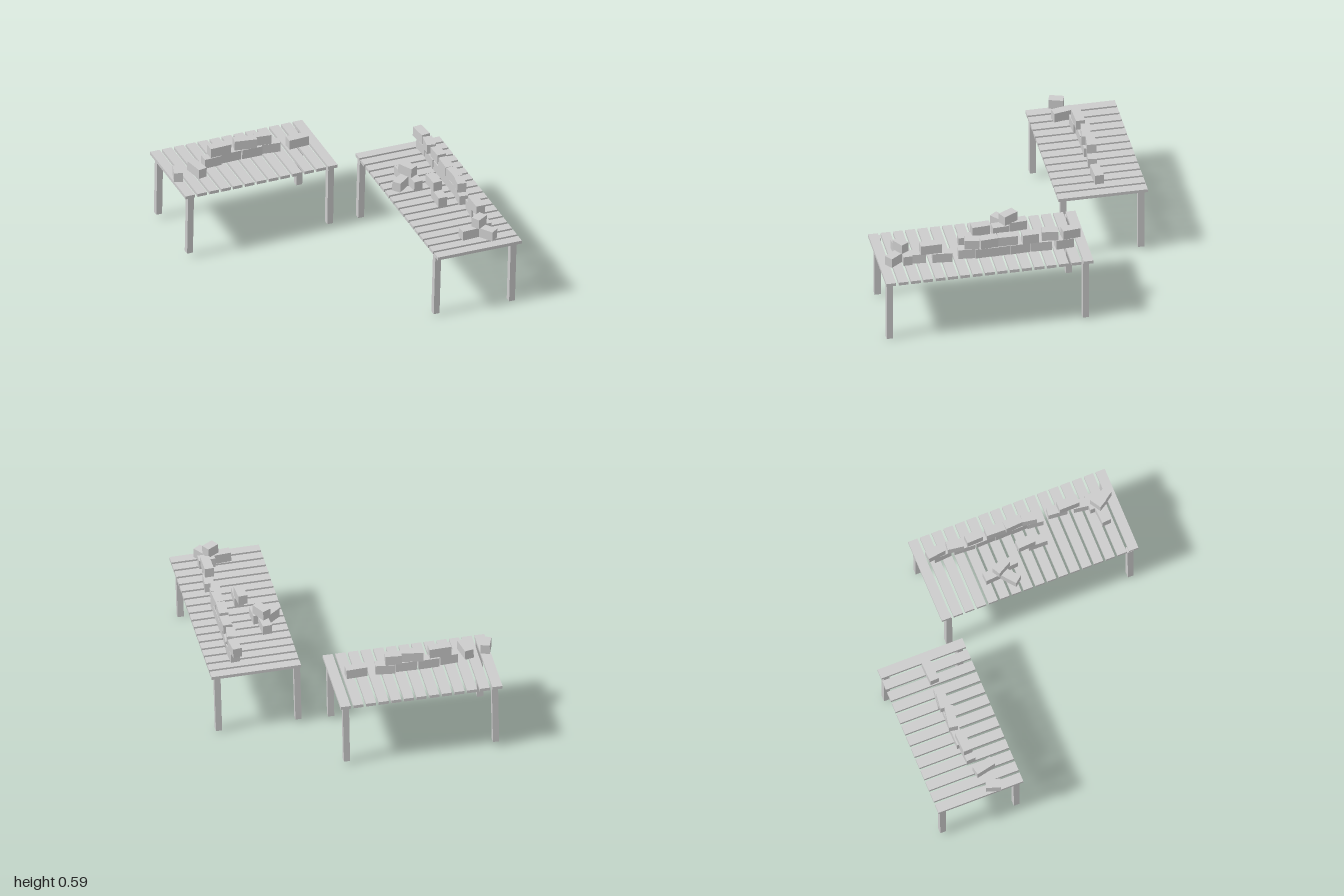
import * as THREE from 'three';

const material = new THREE.MeshStandardMaterial({ color: 0xcccccc, flatShading: true });
const YAW = 0.195;

function box(name, w, h, d, x, y, z) {
  const mesh = new THREE.Mesh(new THREE.BoxGeometry(w, h, d), material);
  mesh.name = name;
  mesh.position.set(x, y, z);
  return mesh;
}

// Slatted top on four corner legs; slats repeat along the chosen axis.
function table(name, length, width, count, slatWidth, alongX, legs) {
  const group = new THREE.Group();
  group.name = name;
  const pitch = (length - slatWidth) / (count - 1);
  for (let i = 0; i < count; i++) {
    const p = -length / 2 + slatWidth / 2 + i * pitch;
    group.add(alongX
      ? box('slat', slatWidth, 0.02, width, p, -0.01, 0)
      : box('slat', width, 0.02, slatWidth, 0, -0.01, p));
  }
  for (const [x, z] of legs) group.add(box('leg', 0.038, 0.405, 0.038, x, -0.2175, z));
  group.rotation.y = YAW;
  return group;
}

// Loose bricks: x, z, layer, turn in degrees, length
function bricks(name, list) {
  const group = new THREE.Group();
  group.name = name;
  for (const [x, z, layer, turn, length] of list) {
    const b = box('brick', length, 0.062, 0.056, x, 0.05 + layer * 0.064, z);
    b.rotation.y = THREE.MathUtils.degToRad(turn);
    group.add(b);
  }
  return group;
}

export function createModel() {
  const model = new THREE.Group();
  model.name = 'twoTablesWithBricks';

  // Shorter table
  const shortSide = new THREE.Group();
  shortSide.name = 'shortTableSet';
  const shortTable = table('shortTable', 0.995, 0.55, 13, 0.062, true,
    [[-0.455, -0.237], [0.462, -0.237], [-0.455, 0.24], [0.462, 0.24]]);
  shortTable.position.set(-0.46, 0, -0.485);
  shortSide.add(shortTable, bricks('shortTableBricks', [
    [-0.905, -0.305, 0, 83, 0.09],
    [-0.78, -0.34, 0, -67, 0.125],
    [-0.675, -0.42, 0, 14, 0.11],
    [-0.555, -0.46, 0, 12, 0.13],
    [-0.42, -0.485, 0, 10, 0.13],
    [-0.295, -0.515, 0, 4, 0.12],
    [-0.12, -0.545, 0, 14, 0.13],
    [-0.625, -0.435, 1, 13, 0.135],
    [-0.457, -0.48, 1, 2, 0.14],
    [-0.345, -0.51, 1, 5, 0.1],
  ]));
  shortSide.position.y = 0.443;
  shortSide.rotation.z = -0.016;

  // Longer table
  const longSide = new THREE.Group();
  longSide.name = 'longTableSet';
  const longTable = table('longTable', 1.275, 0.55, 17, 0.06, false,
    [[-0.255, -0.59], [0.235, -0.595], [0.225, 0.61], [-0.258, 0.585]]);
  longTable.position.set(0.605, 0, 0.16);
  longSide.add(longTable, bricks('longTableBricks', [
    // curved wall
    [0.62, -0.34, 0, -75, 0.11],
    [0.645, -0.2, 0, -82, 0.13],
    [0.67, -0.07, 0, -77, 0.12],
    [0.695, 0.05, 0, -77, 0.12],
    [0.715, 0.15, 0, -77, 0.1],
    [0.725, 0.25, 0, -85, 0.1],
    [0.608, -0.38, 1, -72, 0.11],
    [0.63, -0.255, 1, -87, 0.1],
    [0.66, -0.135, 1, -77, 0.1],
    [0.682, 0, 1, -80, 0.12],
    [0.708, 0.115, 1, -75, 0.11],
    [0.722, 0.215, 1, -88, 0.09],
    // far end of the wall
    [0.765, 0.395, 0, -84, 0.12],
    [0.775, 0.56, 0, -87, 0.13],
    [0.77, 0.465, 1, -78, 0.13],
    [0.695, 0.66, 0, 15, 0.13],
    [0.785, 0.675, 0, -43, 0.13],
    [0.775, 0.61, 0, 12, 0.1],
    [0.75, 0.645, 1, 43, 0.08],
    // side cluster
    [0.425, -0.06, 0, -75, 0.11],
    [0.4, 0.035, 0, 50, 0.13],
    [0.48, 0.045, 0, -75, 0.1],
    [0.445, -0.005, 1, -50, 0.1],
    [0.59, 0.24, 0, -80, 0.12],
    [0.57, 0.165, 1, -75, 0.11],
  ]));
  longSide.position.y = 0.449;
  longSide.rotation.z = -0.025;

  model.add(shortSide, longSide);
  return model;
}
